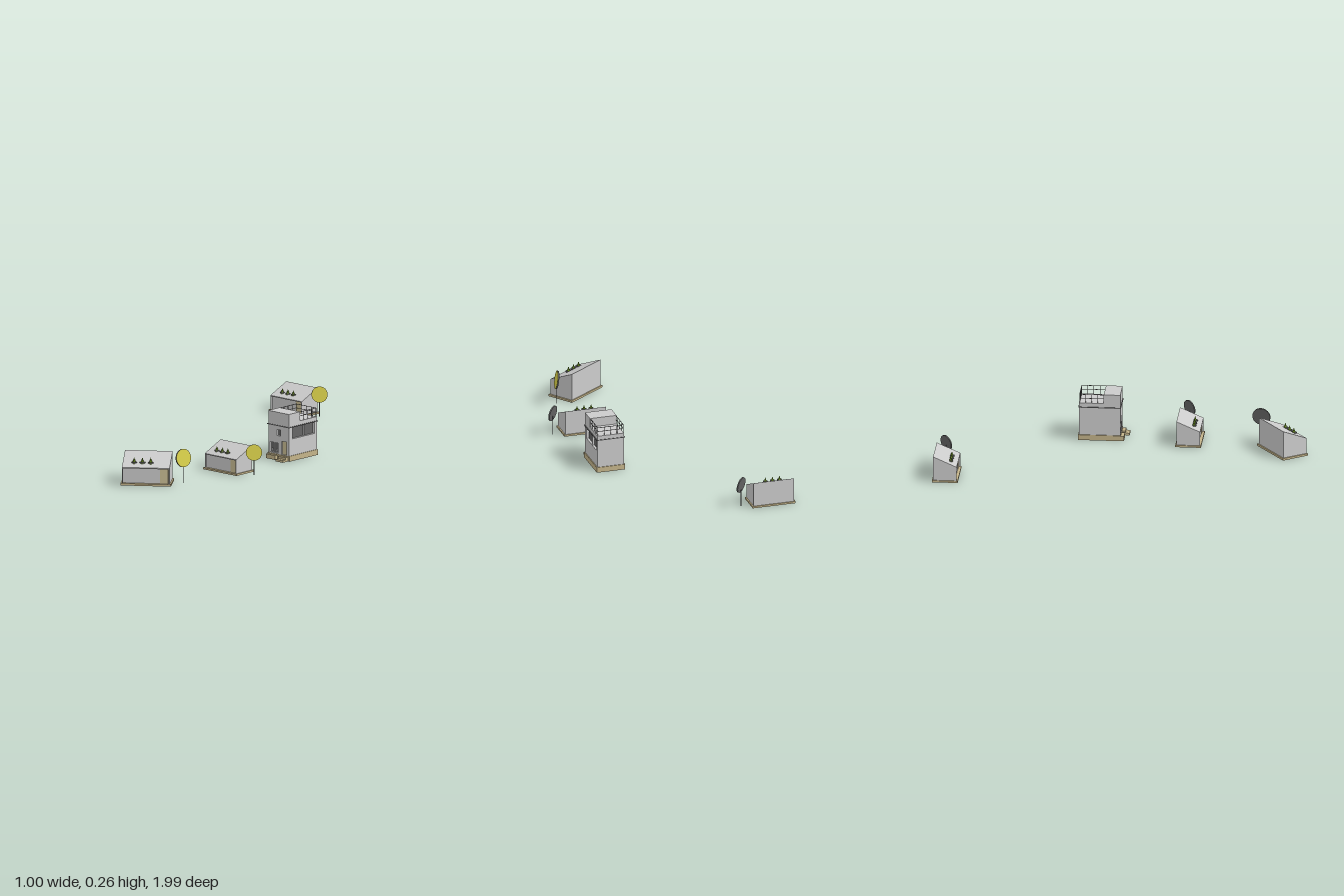
import * as THREE from 'three';

const mat = (color, extra = {}) => new THREE.MeshStandardMaterial({ color, ...extra });
const grey = mat(0xcccccc);
const dark = mat(0x666666);
const tan = mat(0xc4b48a);
const doorTan = mat(0xc9bd94);
const green = mat(0x6b8e23);
const yellow = mat(0xd8d04a);

function add(parent, name, geometry, material) {
  const mesh = new THREE.Mesh(geometry, material);
  mesh.name = name;
  parent.add(mesh);
  return mesh;
}

// Box given by its minimum and maximum corners
function box(parent, name, [x0, y0, z0], [x1, y1, z1], material = grey) {
  const mesh = add(parent, name, new THREE.BoxGeometry(x1 - x0, y1 - y0, z1 - z0), material);
  mesh.position.set((x0 + x1) / 2, (y0 + y1) / 2, (z0 + z1) / 2);
  return mesh;
}

// Profile of [z, y] points, extruded along x from x0 to x1
function profileX(parent, name, points, x0, x1, material = grey) {
  const shape = new THREE.Shape(points.map(([z, y]) => new THREE.Vector2(-z, y)));
  const geo = new THREE.ExtrudeGeometry(shape, { depth: x1 - x0, bevelEnabled: false });
  geo.rotateY(Math.PI / 2).translate(x0, 0, 0);
  return add(parent, name, geo, material);
}

// Flat wall with rectangular openings [u0, v0, u1, v1]
function wallGeometry(u0, v0, u1, v1, openings, depth) {
  const rect = (Type, a, b, c, d) => new Type([[a, b], [c, b], [c, d], [a, d]].map(p => new THREE.Vector2(...p)));
  const shape = rect(THREE.Shape, u0, v0, u1, v1);
  for (const o of openings) shape.holes.push(rect(THREE.Path, ...o));
  return new THREE.ExtrudeGeometry(shape, { depth, bevelEnabled: false });
}

function createTree() {
  const tree = new THREE.Group();
  tree.name = 'tree';
  const trunk = add(tree, 'trunk', new THREE.CylinderGeometry(0.002, 0.002, 0.12, 8), dark);
  trunk.position.y = 0.06;
  // Round flat crown, coloured on its front face
  const crown = add(tree, 'crown', new THREE.CylinderGeometry(0.044, 0.044, 0.007, 32), [dark, yellow, dark]);
  crown.position.y = 0.123;
  crown.quaternion.setFromUnitVectors(new THREE.Vector3(0, 1, 0), new THREE.Vector3(1, 0.22, 1).normalize());
  return tree;
}

function createHouse() {
  const house = new THREE.Group();
  house.name = 'house';
  box(house, 'base', [-0.122, 0, -0.07], [0.122, 0.01, 0.07], tan);
  box(house, 'body', [-0.11, 0.01, -0.064], [0.11, 0.083, 0.054]);
  // Sloping roof and side walls framing the recessed front
  profileX(house, 'roof', [[0.064, 0.083], [0.064, 0.088], [-0.064, 0.144], [-0.064, 0.083]], -0.115, 0.115);
  for (const x of [-0.115, 0.11]) box(house, 'sideWall', [x, 0.01, -0.064], [x + 0.005, 0.083, 0.064]);
  box(house, 'door', [0.067, 0.01, 0.053], [0.108, 0.081, 0.056], doorTan);
  // Plants on the roof
  for (const x of [-0.06, -0.02, 0.02]) {
    const pot = add(house, 'planter', new THREE.CylinderGeometry(0.014, 0.014, 0.005, 16), dark);
    pot.position.set(x, 0.106, 0.027);
    const plant = add(house, 'plant', new THREE.ConeGeometry(0.011, 0.034, 16), green);
    plant.position.set(x, 0.114, 0.027);
  }
  const tree = createTree();
  tree.position.set(0.172, 0, -0.017);
  house.add(tree);
  return house;
}

function createTower() {
  const tower = new THREE.Group();
  tower.name = 'tower';
  const [x0, x1, zb, zf, low, top] = [0.241, 0.392, -0.265, -0.04, 0.212, 0.262];
  const split = -0.13, t = 0.014;
  box(tower, 'base', [x0 - 0.005, 0, zb - 0.004], [x1 + 0.005, 0.03, zf + 0.002], tan);
  box(tower, 'core', [x0, 0.03, zb], [x1 - t, low, zf - t]);
  box(tower, 'topBlock', [x0, low, split], [x1, top, zf]);

  // Front wall with porch, doorway and small window
  const front = wallGeometry(x0, 0.03, x1, low,
    [[0.254, 0.035, 0.312, 0.09], [0.338, 0.031, 0.376, 0.105], [0.305, 0.132, 0.332, 0.165]], t);
  add(tower, 'frontWall', front.translate(0, 0, zf - t), grey);
  box(tower, 'door', [0.338, 0.031, zf - t], [0.376, 0.105, zf - 0.007], doorTan);
  box(tower, 'porchBack', [0.254, 0.035, zf - t], [0.312, 0.09, zf - t + 0.001], dark);
  box(tower, 'windowPane', [0.305, 0.132, zf - t], [0.332, 0.165, zf - t + 0.001], dark);
  box(tower, 'porchPost', [0.281, 0.035, zf - 0.008], [0.286, 0.09, zf - 0.002]);
  for (const x of [0.267, 0.298]) {
    const pot = add(tower, 'porchPot', new THREE.CylinderGeometry(0.006, 0.004, 0.02, 12), grey);
    pot.position.set(x, 0.045, zf - 0.006);
  }

  // Side wall with the wide window
  const side = wallGeometry(-(zf - t), 0.03, -zb, low, [[0.07, 0.122, 0.245, 0.184]], t);
  add(tower, 'sideWall', side.rotateY(Math.PI / 2).translate(x1 - t, 0, 0), grey);
  box(tower, 'sidePane', [x1 - t, 0.122, -0.245], [x1 - t + 0.001, 0.184, -0.07], dark);
  box(tower, 'mullion', [x1 - t, 0.122, -0.169], [x1 - 0.002, 0.184, -0.163]);

  // Thin ledge around the upper floor
  box(tower, 'ledge', [x0 - 0.005, 0.186, zb - 0.003], [x1 + 0.005, 0.19, zf + 0.004], dark);

  // Steps in front of the porch and the door
  box(tower, 'porchStep', [0.242, 0, zf], [0.31, 0.024, -0.02], tan);
  box(tower, 'doorStepUpper', [0.332, 0, zf], [0.387, 0.024, -0.02], tan);
  box(tower, 'doorStepLower', [0.332, 0, -0.02], [0.387, 0.012, 0.003], tan);

  // Terrace railing on the two sides and the back
  const r = 0.0012;
  const railing = new THREE.Group();
  railing.name = 'railing';
  tower.add(railing);
  const xl = x0 + 0.003, xr = x1 - 0.003, zr = zb + 0.003;
  for (const y of [0.238, 0.26]) {
    for (const x of [xl, xr]) box(railing, 'sideRail', [x - r, y - r, zr], [x + r, y + r, split], dark);
    box(railing, 'backRail', [xl, y - r, zr - r], [xr, y + r, zr + r], dark);
  }
  const post = (x, z) => box(railing, 'post', [x - r, low, z - r], [x + r, 0.26, z + r], dark);
  for (let i = 0; i <= 4; i++) {
    const f = i / 4;
    post(xl + (xr - xl) * f, zr);
    if (i > 0) for (const x of [xl, xr]) post(x, zr + (split - zr) * f);
  }
  return tower;
}

export function createModel() {
  const model = new THREE.Group();
  model.name = 'village';
  // Three similar houses, the front one larger and turned
  const places = [[-0.38, -0.93, 0, 1], [0.29, 0.335, 0, 1], [0.164, 0.85, 0.62, 1.13]];
  for (const [x, z, turn, size] of places) {
    const house = createHouse();
    house.position.set(x, 0, z);
    house.rotation.y = turn;
    house.scale.setScalar(size);
    model.add(house);
  }
  model.add(createTower());
  return model;
}
